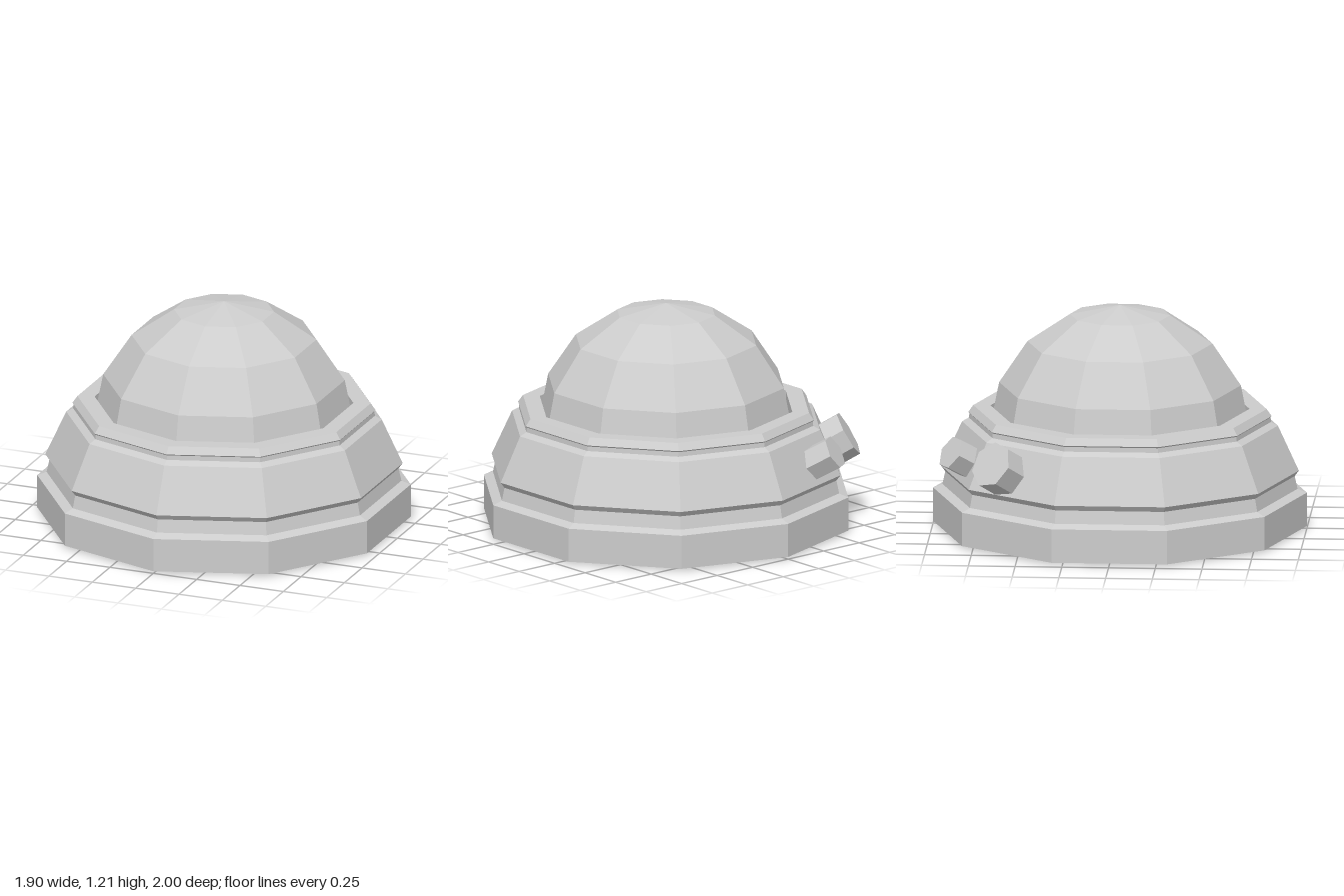
import * as THREE from 'three';

const SIDES = 10;

export function createModel() {
  const model = new THREE.Group();
  const grey = new THREE.MeshStandardMaterial({ color: 0xcccccc });
  grey.name = 'light grey';

  // Gives every facet its own normal for the low-poly look
  function addFaceted(name, geometry, parent = model) {
    const flat = geometry.toNonIndexed();
    flat.computeVertexNormals();
    const mesh = new THREE.Mesh(flat, grey);
    mesh.name = name;
    parent.add(mesh);
    return mesh;
  }

  // Ten-sided part turned from a [radius, height] profile
  function addTurned(name, profile) {
    const points = profile.map(([r, y]) => new THREE.Vector2(r, y));
    return addFaceted(name, new THREE.LatheGeometry(points, SIDES));
  }

  // Plinth with a shallow recess underneath
  addTurned('plinth', [
    [0, 0.14], [0.29, 0.14], [0.29, 0], [1, 0.012], [1, 0.195], [0.95, 0.215],
  ]);

  // Sloping body between two collars, with a socket for the dome
  addTurned('body', [
    [0.95, 0.215], [0.935, 0.285], [0.957, 0.315], [0.845, 0.56], [0.808, 0.58],
    [0.806, 0.605], [0.812, 0.612], [0.785, 0.65], [0.693, 0.65], [0.693, 0.5],
  ]);

  // Dome: upper half of a coarse sphere seated in the socket
  const dome = [];
  for (let i = 0; i <= 4; i++) {
    const a = (i / 4) * Math.PI / 2;
    dome.push([i === 4 ? 0 : 0.7 * Math.cos(a), 0.51 + 0.7 * Math.sin(a)]);
  }
  addTurned('dome', dome);

  // Stubs at the back, pointing outward and up; azimuth is measured from -z towards -x
  function addStub(name, cap, radius, sides, azimuth, elevation, spin) {
    const az = THREE.MathUtils.degToRad(azimuth);
    const el = THREE.MathUtils.degToRad(elevation);
    const axis = new THREE.Vector3(
      -Math.sin(az) * Math.cos(el), Math.sin(el), -Math.cos(az) * Math.cos(el));
    const length = 0.2;
    const geometry = new THREE.CylinderGeometry(radius, radius, length, sides);
    geometry.rotateY(spin);
    geometry.translate(0, -length / 2, 0);
    const stub = addFaceted(name, geometry);
    stub.position.set(...cap);
    stub.quaternion.setFromUnitVectors(new THREE.Vector3(0, 1, 0), axis);
  }
  addStub('smallStub', [-0.435, 0.49, -0.88], 0.095, 6, 33, 30, 0.05);
  addStub('largeStub', [-0.73, 0.494, -0.645], 0.128, 7, 49, 30, 0.2);

  return model;
}
